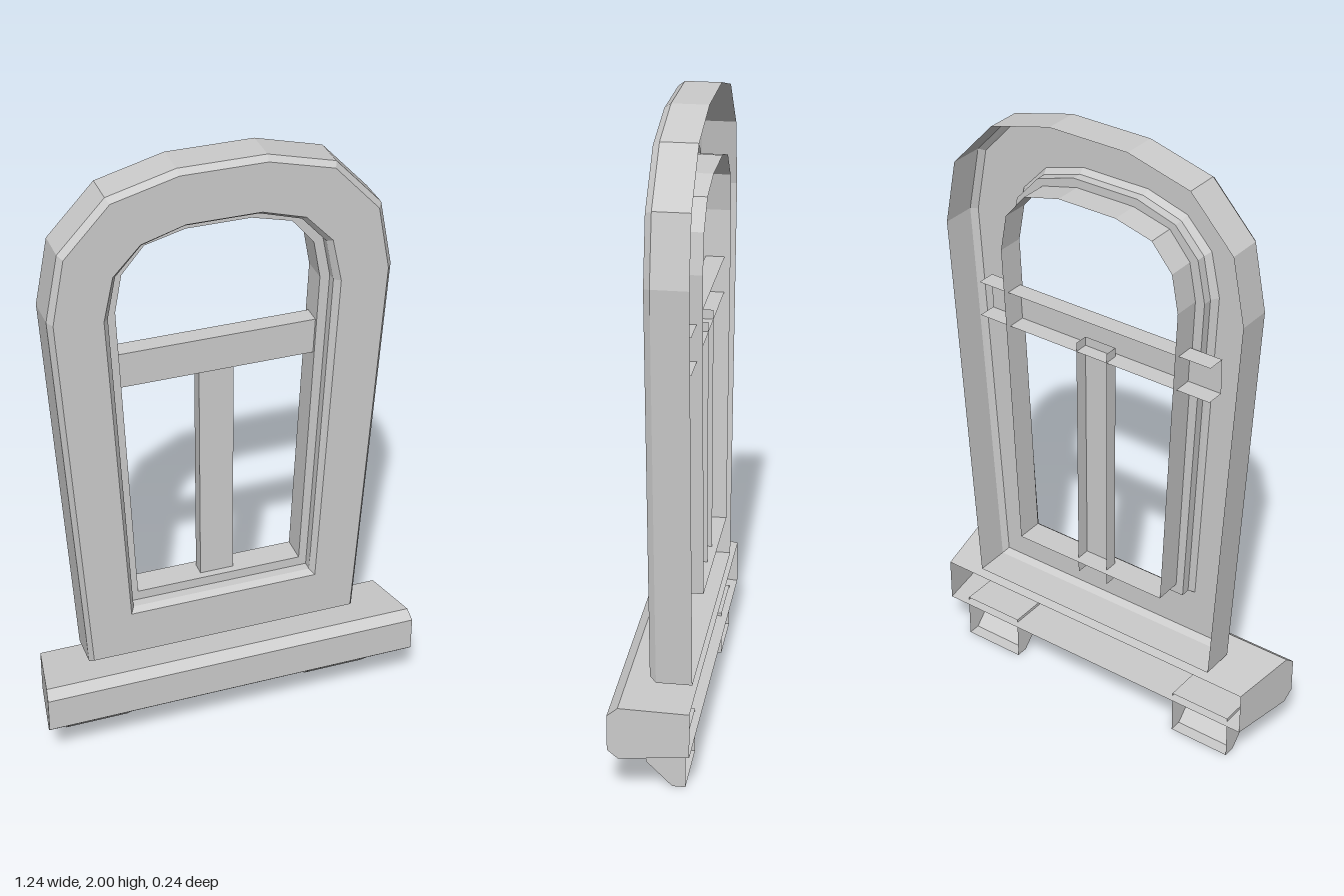
import * as THREE from 'three';

const material = new THREE.MeshStandardMaterial({
  color: 0xcccccc, flatShading: true, side: THREE.DoubleSide,
});

// Skin a surface over successive rings of [x, y, z] points.
function loft(name, rings, { closed = true, cap = false } = {}) {
  const n = rings[0].length;
  const index = [];
  for (let r = 0; r < rings.length - 1; r++) {
    for (let j = 0; j < (closed ? n : n - 1); j++) {
      const a = r * n + j, b = r * n + (j + 1) % n;
      index.push(a, b, a + n, b, b + n, a + n);
    }
  }
  if (cap) {
    const s = (rings.length - 1) * n;
    for (let j = 1; j < n - 1; j++) index.push(s, s + j, s + j + 1);
  }
  const indexed = new THREE.BufferGeometry();
  indexed.setAttribute('position', new THREE.Float32BufferAttribute(rings.flat(2), 3));
  indexed.setIndex(index);
  const geometry = indexed.toNonIndexed();
  geometry.computeVertexNormals();
  const mesh = new THREE.Mesh(geometry, material);
  mesh.name = name;
  return mesh;
}

// Mirror one half of an arched outline into a full counterclockwise ring.
const arch = (half, z) => [
  ...half.map(([x, y]) => [x, y, z]),
  ...half.map(([x, y]) => [-x, y, z]).reverse(),
];

// Counterclockwise rectangle at depth z.
const rect = (x0, x1, y0, y1, z) => [[x1, y0, z], [x1, y1, z], [x0, y1, z], [x0, y0, z]];

export function createModel() {
  const group = new THREE.Group();
  group.name = 'archedWindow';

  // Half outlines from the bottom corner up to the crown
  const outer = [[0.45, 0.31], [0.53, 1.58], [0.49, 1.79], [0.345, 1.945], [0.135, 2]];
  const outerFace = [[0.438, 0.325], [0.515, 1.575], [0.477, 1.78], [0.336, 1.932], [0.132, 1.985]];
  const openingFace = [[0.31, 0.48], [0.365, 1.56], [0.335, 1.7], [0.25, 1.79], [0.115, 1.83]];
  const opening = [[0.297, 0.493], [0.348, 1.557], [0.322, 1.69], [0.243, 1.777], [0.112, 1.817]];
  const sash = [[0.272, 0.525], [0.317, 1.555], [0.295, 1.675], [0.225, 1.758], [0.1, 1.79]];

  // Surround with bevelled front edges, hollow behind
  group.add(loft('frame', [
    arch(outer, -0.11), arch(outer, 0), arch(outerFace, 0.02),
    arch(openingFace, 0.02), arch(opening, 0), arch(opening, -0.03),
  ]));

  // Recessed inner step
  group.add(loft('sash', [arch(opening, -0.03), arch(sash, -0.03), arch(sash, -0.118)]));

  // Glazing bars: channels open at the back
  group.add(loft('crossbar', [-0.42, 0.42].map((x) => [
    [x, 1.405, -0.1], [x, 1.405, -0.04], [x, 1.29, -0.04], [x, 1.29, -0.1],
  ]), { closed: false }));
  group.add(loft('mullion', [0.47, 1.32].map((y) => [
    [-0.055, y, -0.1], [-0.055, y, -0.055], [0.055, y, -0.055], [0.055, y, -0.1],
  ]), { closed: false }));

  // Tapered sill with a sloping top
  group.add(loft('sill', [
    rect(-0.58, 0.58, 0.14, 0.285, -0.12),
    rect(-0.615, 0.615, 0.14, 0.31, 0.088),
    rect(-0.62, 0.62, 0.17, 0.285, 0.12),
  ], { cap: true }));

  // Pair of brackets with a slanted underside
  for (const [name, cx] of [['leftBracket', 0.418], ['rightBracket', -0.418]]) {
    const x0 = cx - 0.104, x1 = cx + 0.104;
    group.add(loft(name, [
      rect(x0, x1, 0, 0.15, -0.1),
      rect(x0, x1, 0, 0.15, -0.06),
      rect(x0, x1, 0.08, 0.15, 0.02),
    ], { cap: true }));
  }

  return group;
}
